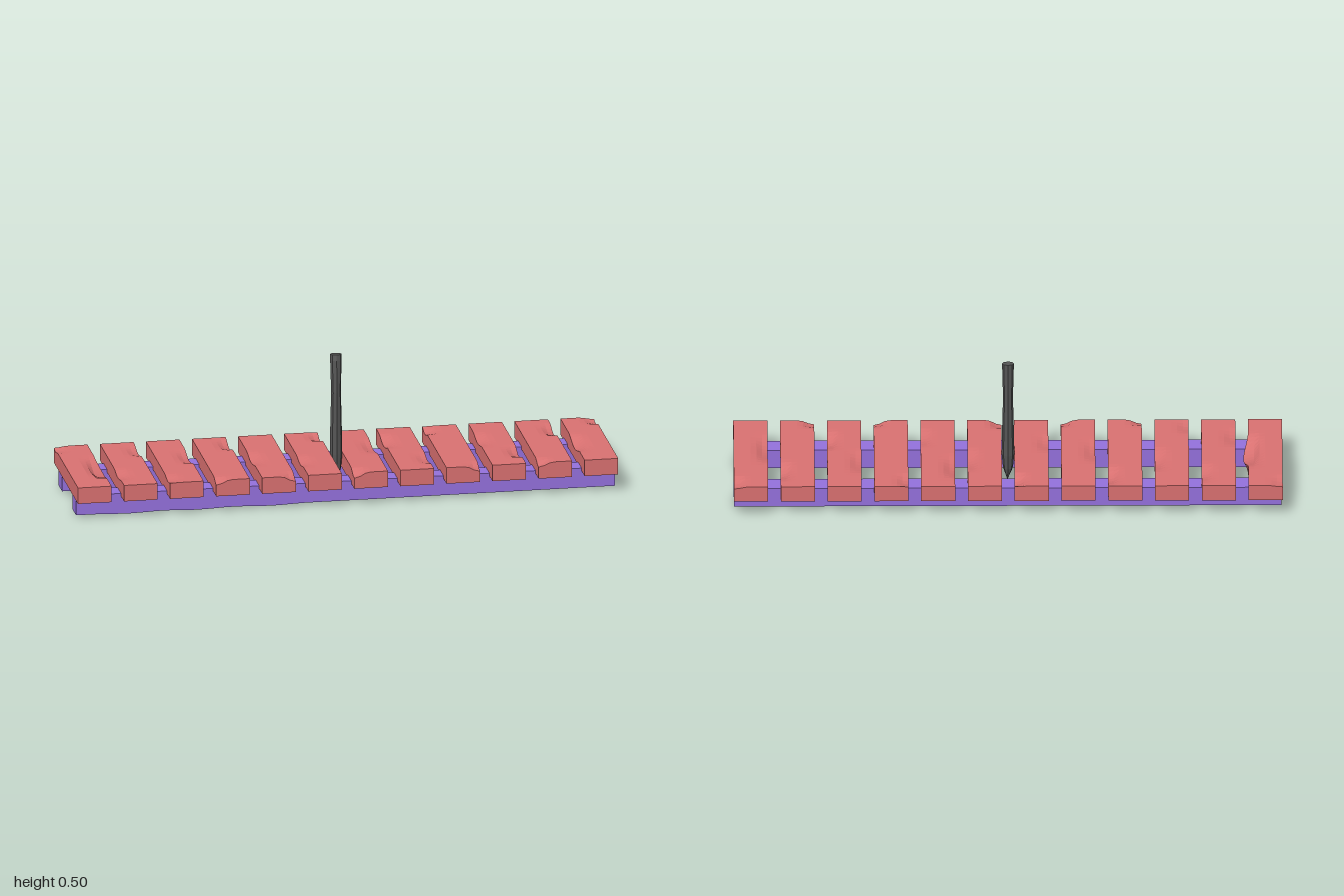
import * as THREE from 'three';

const material = (color) => new THREE.MeshStandardMaterial({ color, flatShading: true });

// Moves every vertex of a geometry by a rule.
function reshape(geometry, rule) {
  const p = geometry.attributes.position;
  const v = new THREE.Vector3();
  for (let i = 0; i < p.count; i++) {
    v.fromBufferAttribute(p, i);
    rule(v);
    p.setXYZ(i, v.x, v.y, v.z);
  }
  geometry.computeVertexNormals();
  return geometry;
}

// Smooth bump: 1 at the centre, 0 beyond the given reach.
function bump(distance, reach) {
  const t = Math.min(Math.abs(distance) / reach, 1);
  return (1 - t * t) ** 2;
}

// Box whose top is worn down by dents [x, z, reachX, reachZ, depth].
function wornBox(w, h, d, segX, segZ, dents) {
  return reshape(new THREE.BoxGeometry(w, h, d, segX, 1, segZ), (v) => {
    if (v.y < 0) return;
    const { x, z } = v;
    for (const [cx, cz, rx, rz, depth] of dents) {
      v.y -= depth * bump(x - cx, rx) * bump(z - cz, rz);
    }
  });
}

export function createModel() {
  const group = new THREE.Group();
  const add = (name, geometry, mat, x, y, z) => {
    const mesh = new THREE.Mesh(geometry, mat);
    mesh.name = name;
    mesh.position.set(x, y, z);
    group.add(mesh);
    return mesh;
  };
  const red = material(0xd87070);
  const purple = material(0x9370db);
  const grey = material(0x555555);

  // Worn places per plank: [edge side, z, half length, depth]
  const wear = [
    [[1, 0.02, 0.14, 0.04], [-1, -0.22, 0.06, 0.01]],
    [[1, -0.15, 0.08, 0.015], [-1, 0.12, 0.08, 0.012]],
    [[1, -0.05, 0.1, 0.018], [-1, 0.2, 0.06, 0.01]],
    [[-1, 0.25, 0.05, 0.018], [1, -0.17, 0.08, 0.02]],
    [[1, 0.25, 0.06, 0.02], [-1, 0.02, 0.1, 0.015]],
    [[1, -0.2, 0.06, 0.02], [-1, 0.08, 0.08, 0.012]],
    [[-1, 0.24, 0.06, 0.022], [1, -0.05, 0.1, 0.015]],
    [[-1, -0.1, 0.1, 0.018], [1, 0.12, 0.08, 0.012]],
    [[1, 0.25, 0.06, 0.02], [-1, -0.2, 0.06, 0.015]],
    [[1, 0.1, 0.08, 0.02], [-1, -0.06, 0.1, 0.015]],
    [[1, -0.13, 0.08, 0.02], [-1, 0.24, 0.05, 0.018]],
    [[-1, 0.04, 0.12, 0.022], [1, -0.22, 0.06, 0.015]],
  ];

  // Cross planks
  wear.forEach((spots, i) => {
    const dents = spots.map(([side, z, reach, depth]) => [side * 0.062, z, 0.055, reach, depth]);
    const geometry = wornBox(0.124, 0.061, 0.5, 6, 24, dents);
    // The end plank has splintered outwards below its deepest dent
    if (i === 0) {
      reshape(geometry, (v) => {
        if (v.x > 0.06 && v.y > -0.03) v.x += 0.018 * bump(v.z - 0.02, 0.13);
      });
    }
    add('plank' + (i + 1), geometry, red, -0.937 + i * 0.17, 0.0975, 0);
  });

  // Two long rails under the planks, slightly worn along their lower edges
  for (const [name, z] of [['frontRail', 0.152], ['backRail', -0.136]]) {
    const geometry = wornBox(1.99, 0.074, 0.072, 40, 2, [[0.995, 0.036, 0.1, 0.05, 0.012]]);
    reshape(geometry, (v) => {
      if (v.y > 0) return;
      for (const x of [-0.8, -0.55, -0.27]) v.y -= 0.004 * bump(v.x - x, 0.12) * bump(v.z - 0.036, 0.06);
    });
    add(name, geometry, purple, 0, 0.041, z);
  }

  // Hewn stake with a pointed foot: rings of [height, radiusX, radiusZ, centreX, centreZ]
  const rings = [
    [0.02, 0.0005, 0.0005, 0, 0.002],
    [0.068, 0.018, 0.018, -0.002, 0.002],
    [0.125, 0.023, 0.022, -0.002, 0],
    [0.24, 0.021, 0.022, -0.002, 0],
    [0.36, 0.018, 0.021, -0.002, 0],
    [0.48, 0.021, 0.017, -0.002, -0.003],
    [0.502, 0.021, 0.015, -0.002, -0.005],
  ];
  const stake = reshape(new THREE.CylinderGeometry(1, 1, rings.length - 1, 8, rings.length - 1), (v) => {
    const [y, rx, rz, cx, cz] = rings[Math.round(v.y + (rings.length - 1) / 2)];
    v.set(cx + v.x * rx, y, cz + v.z * rz);
  });
  add('stake', stake, grey, 0, 0, 0);

  return group;
}
